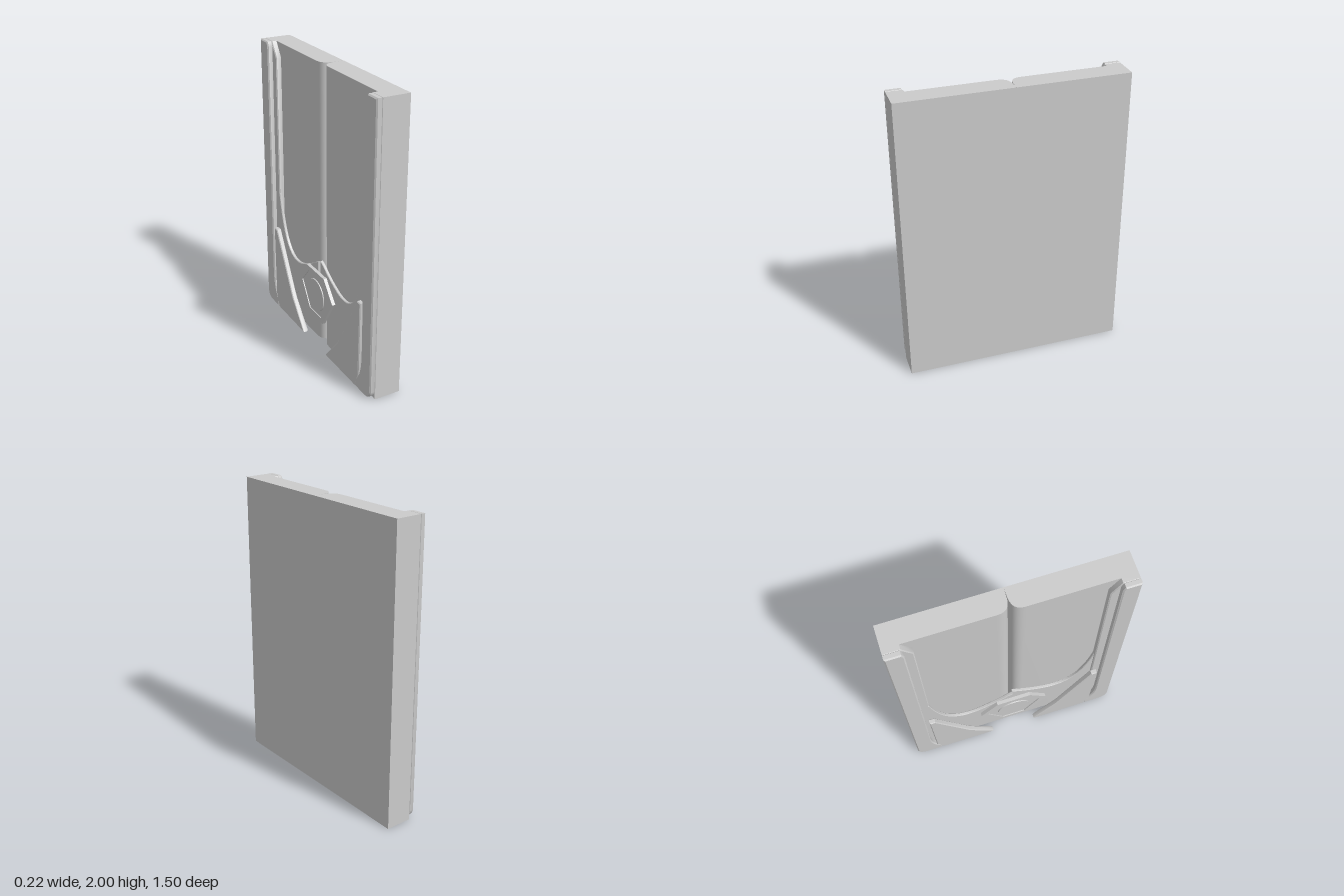
import * as THREE from 'three';
import { toCreasedNormals } from 'three/addons/utils/BufferGeometryUtils.js';

const material = new THREE.MeshStandardMaterial({ color: 0xcccccc });

function mesh(geometry, name) {
  const m = new THREE.Mesh(toCreasedNormals(geometry, 0.6), material);
  m.name = name;
  return m;
}

// Plate drawn in (z, y), reaching from xInner out to xOuter (towards -x).
function plate(name, shape, xInner, xOuter, bevel = 0) {
  const g = new THREE.ExtrudeGeometry(shape, {
    depth: xInner - xOuter - bevel,
    curveSegments: 12,
    bevelEnabled: bevel > 0,
    bevelThickness: bevel,
    bevelSize: bevel,
    bevelOffset: -bevel,
    bevelSegments: 1,
  });
  g.rotateY(-Math.PI / 2);
  g.translate(xInner, 0, 0);
  return mesh(g, name);
}

const polygon = (points, s = 1) =>
  new THREE.Shape(points.map(([z, y]) => new THREE.Vector2(s * z, y)));

// Door leaf: plan section with a rounded inner edge, raised to full height.
function doorLeaf(s) {
  const p = new THREE.Shape();
  p.moveTo(0.11, 0);
  p.lineTo(0.04, s * 0.002);
  p.bezierCurveTo(-0.01, s * 0.006, -0.04, s * 0.025, -0.04, s * 0.085);
  p.lineTo(-0.04, s * 0.75);
  p.lineTo(0.11, s * 0.75);
  p.closePath();
  const g = new THREE.ExtrudeGeometry(p, { depth: 2, bevelEnabled: false, curveSegments: 14 });
  g.rotateX(-Math.PI / 2);
  g.scale(1, 1, 1);
  const m = mesh(g, 'doorLeaf');
  return m;
}

// Curved brace sweeping from the centre up into the outer stile.
function braceShape(s) {
  const p = new THREE.Shape();
  p.moveTo(0, 0.2);
  p.lineTo(0, 0.64);
  p.lineTo(s * 0.04, 0.62);
  p.quadraticCurveTo(s * 0.14, 0.55, s * 0.25, 0.51);
  p.bezierCurveTo(s * 0.42, 0.46, s * 0.52, 0.58, s * 0.58, 0.92);
  p.lineTo(s * 0.62, 0.92);
  p.lineTo(s * 0.62, 0.05);
  p.lineTo(s * 0.3, 0.25);
  p.closePath();
  return p;
}

// Slim raised strip, curving inwards at the foot.
function stripShape(s) {
  const p = new THREE.Shape();
  p.moveTo(s * 0.75, 0.06);
  p.lineTo(s * 0.75, 2);
  p.lineTo(s * 0.65, 2);
  p.lineTo(s * 0.635, 1.97);
  p.lineTo(s * 0.635, 0.27);
  p.quadraticCurveTo(s * 0.63, 0.12, s * 0.565, 0.06);
  p.lineTo(s * 0.565, 0);
  p.lineTo(s * 0.69, 0);
  p.quadraticCurveTo(s * 0.74, 0.01, s * 0.75, 0.06);
  return p;
}

export function createModel() {
  const model = new THREE.Group();
  model.name = 'doubleDoor';

  for (const s of [1, -1]) {
    const leaf = new THREE.Group();
    leaf.name = s > 0 ? 'frontLeaf' : 'backLeaf';
    leaf.add(doorLeaf(-s));

    // Outer stile with a chamfered top
    leaf.add(plate('outerStile', polygon([
      [0.58, 0.04], [0.75, 0], [0.75, 2], [0.645, 2], [0.58, 1.9],
    ], s), -0.04, -0.076, 0.006));
    leaf.add(plate('raisedStrip', stripShape(s), -0.076, -0.11, 0.008));

    // The two braces lie at different depths so they can overlap
    const inner = s > 0 ? -0.041 : -0.058;
    leaf.add(plate('curvedBrace', braceShape(s), inner, inner - 0.018, 0.004));

    // Pointed wing in the lower corner
    leaf.add(plate('cornerWing', polygon([
      [0.16, 0], [0.33, 0.2], [0.57, 0.64], [0.61, 0.64], [0.6, 0.1], [0.56, 0],
    ], s), -0.08, -0.11, 0.006));
    model.add(leaf);
  }

  // Central latch: hexagonal frame, recessed panel and round boss
  const latch = new THREE.Group();
  latch.name = 'latch';
  const half = [[0.24, 0.43], [0.12, 0.57], [-0.12, 0.57], [-0.24, 0.43], [-0.1, 0.21], [0.1, 0.21]];
  const inset = half.map(([z, y]) => [z * 0.8, 0.39 + (y - 0.39) * 0.8]);
  const frame = polygon(half);
  frame.holes.push(polygon(inset));
  latch.add(plate('latchFrame', frame, -0.076, -0.1));
  latch.add(plate('latchPanel', polygon(inset), -0.076, -0.093));
  const boss = mesh(new THREE.CylinderGeometry(0.115, 0.12, 0.024, 32), 'latchBoss');
  boss.rotation.z = Math.PI / 2;
  boss.position.set(-0.088, 0.39, 0);
  latch.add(boss);
  model.add(latch);

  return model;
}
